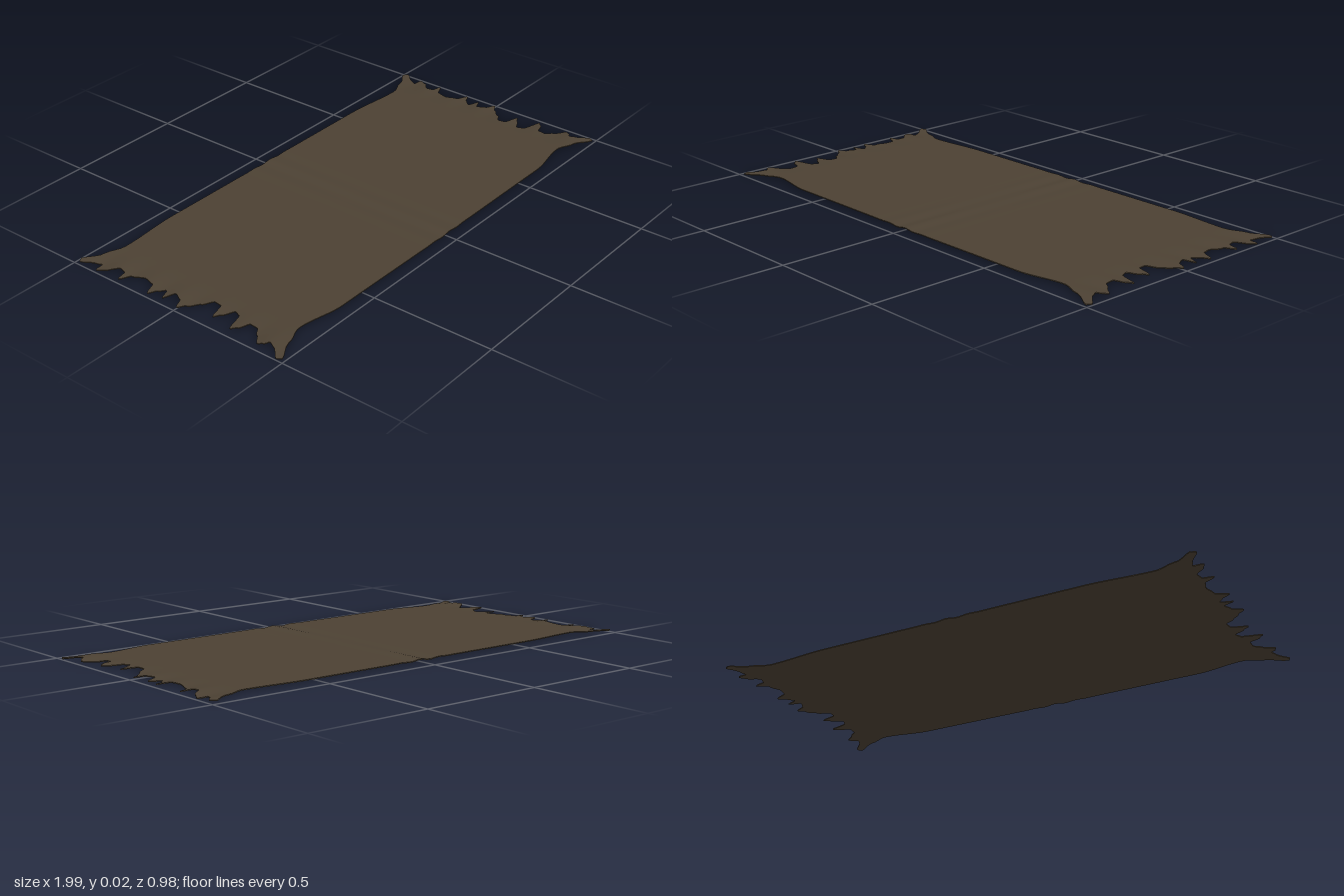
import * as THREE from 'three';

// Linear lookup in a list of [position, value] pairs
function lookup(points, t) {
  if (t <= points[0][0]) return points[0][1];
  for (let i = 1; i < points.length; i++) {
    const [a, va] = points[i - 1], [b, vb] = points[i];
    if (t <= b) {
      const k = (t - a) / (b - a);
      return va + (vb - va) * k * k * (3 - 2 * k);
    }
  }
  return points[points.length - 1][1];
}

// Half width towards the front and the back, along the length
const frontWidth = [[0, 0.455], [0.62, 0.452], [0.82, 0.422], [0.9, 0.448], [1, 0.492]];
const backWidth = [[0, 0.438], [0.55, 0.438], [0.82, 0.42], [0.9, 0.448], [1, 0.498]];

// Ragged ends: half length at each position across the width
const fringe = [
  [-0.44, 0.975], [-0.425, 0.995], [-0.40, 0.96], [-0.385, 0.95], [-0.37, 0.99],
  [-0.345, 0.975], [-0.32, 0.935], [-0.295, 0.94], [-0.28, 0.985], [-0.263, 0.94],
  [-0.21, 0.925], [-0.165, 0.935], [-0.142, 0.985], [-0.125, 0.95], [-0.10, 0.93],
  [-0.078, 0.975], [-0.055, 0.93], [-0.02, 0.945], [0, 0.985], [0.02, 0.955],
  [0.06, 0.92], [0.09, 0.882], [0.12, 0.885], [0.14, 0.95], [0.155, 0.925],
  [0.185, 0.88], [0.21, 0.89], [0.235, 0.97], [0.255, 0.95], [0.275, 0.905],
  [0.305, 0.905], [0.325, 0.935], [0.35, 0.975], [0.368, 0.965], [0.385, 0.945],
  [0.40, 0.955], [0.425, 0.995], [0.44, 0.985],
];

// Gentle creases over the middle and curling ends
function height(x, z) {
  const middle = Math.exp(-((x / 0.09) ** 2)) * (0.35 + 0.65 * Math.min(1, Math.abs(z) / 0.45));
  const crease = 0.0035 * middle * Math.sin(x * 62 + 0.5);
  const end = THREE.MathUtils.smoothstep(Math.abs(x), 0.82, 0.98);
  const curl = end * (-0.004 + 0.004 * Math.sin(z * 43 + x * 3));
  return 0.016 + crease + curl;
}

export function createModel() {
  const group = new THREE.Group();
  const wool = new THREE.MeshStandardMaterial({ color: 0x4c4133 });
  wool.name = 'brownWool';

  // Thin slab reshaped into a rug with fringed ends and flared corners
  const geometry = new THREE.BoxGeometry(2, 0.004, 0.88, 100, 1, 220);
  const p = geometry.attributes.position;
  for (let i = 0; i < p.count; i++) {
    const row = p.getZ(i), v = row / 0.44;
    const x = p.getX(i) * lookup(fringe, row);
    const width = lookup(v > 0 ? frontWidth : backWidth, Math.abs(x));
    const z = row + (width - 0.44) * v * Math.abs(v) ** 3;
    p.setXYZ(i, x, p.getY(i) + height(x, z), z);
  }
  geometry.computeVertexNormals();

  const rug = new THREE.Mesh(geometry, wool);
  rug.name = 'rug';
  group.add(rug);
  return group;
}
